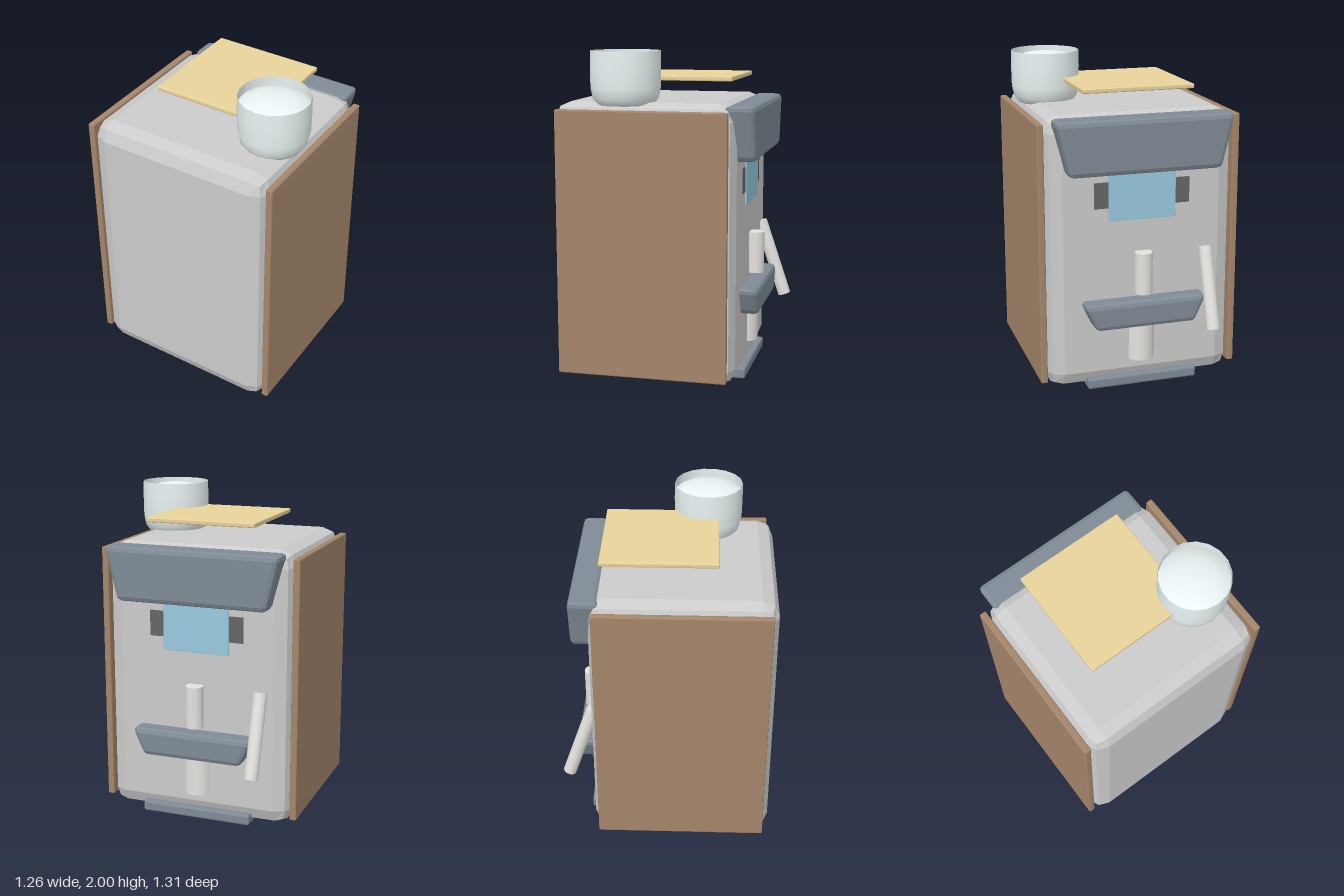
import * as THREE from 'three';
import { RoundedBoxGeometry } from 'three/addons/geometries/RoundedBoxGeometry.js';

const material = (color, flat = true) =>
  new THREE.MeshStandardMaterial({ color, flatShading: flat, side: THREE.DoubleSide });

const grey = material(0xcccccc);
const slate = material(0x808b95);
const wood = material(0xa5866b);
const tan = material(0xe8d39b);
const glass = material(0x99c9e0);
const dark = material(0x666666);
const steel = material(0xe4e2de, false);
const clear = material(0xeaf4f4, false);

export function createModel() {
  const model = new THREE.Group();

  const add = (name, geometry, mat, x = 0, y = 0, z = 0) => {
    const mesh = new THREE.Mesh(geometry, mat);
    mesh.name = name;
    mesh.position.set(x, y, z);
    model.add(mesh);
    return mesh;
  };

  // Chamfered box given by its low and high corners
  const block = (name, mat, [x0, y0, z0], [x1, y1, z1], radius) =>
    add(name, new RoundedBoxGeometry(x1 - x0, y1 - y0, z1 - z0, 1, radius), mat,
      (x0 + x1) / 2, (y0 + y1) / 2, (z0 + z1) / 2);

  // Chamfered bar whose ends slope inward towards the bottom
  const taperedBar = (name, lo, hi, radius, inset) => {
    const mesh = block(name, slate, lo, hi, radius);
    const p = mesh.geometry.attributes.position;
    const h = hi[1] - lo[1];
    for (let i = 0; i < p.count; i++) {
      const down = 0.5 - p.getY(i) / h;
      p.setX(i, p.getX(i) * (1 - (inset / hi[0]) * down));
    }
    mesh.geometry.computeVertexNormals();
    return mesh;
  };

  // Main housing and wooden sides
  block('body', grey, [-0.59, 0.004, -0.45], [0.59, 1.7, 0.655], 0.1);
  for (const [side, name] of [[1, 'leftPanel'], [-1, 'rightPanel']]) {
    const c = side * 0.61;
    block(name, wood, [c - 0.021, 0.05, -0.42], [c + 0.021, 1.66, 0.62], 0.008);
  }

  // Working side: header, display, tray bar and foot
  taperedBar('header', [-0.55, 1.36, -0.56], [0.55, 1.69, -0.38], 0.03, 0.08);
  block('displaySurround', dark, [-0.3, 1.14, -0.452], [0.3, 1.3, -0.44], 0.002);
  block('display', glass, [-0.21, 1.06, -0.459], [0.21, 1.4, -0.44], 0.002);
  taperedBar('trayBar', [-0.39, 0.4, -0.56], [0.39, 0.57, -0.42], 0.03, 0.08);
  block('foot', slate, [-0.35, 0, -0.485], [0.35, 0.065, 0.1], 0.012);

  // Brew spout and the cup below it
  add('brewSpout', new THREE.CylinderGeometry(0.055, 0.055, 0.26, 16), steel, 0, 0.73, -0.485);
  add('cup', new THREE.CylinderGeometry(0.09, 0.09, 0.23, 20), steel, 0, 0.275, -0.415);

  // Leaning steam wand
  const top = new THREE.Vector3(-0.41, 0.85, -0.45);
  const tip = new THREE.Vector3(-0.41, 0.36, -0.615);
  const wand = add('steamWand', new THREE.CylinderGeometry(0.042, 0.042, top.distanceTo(tip), 12), steel);
  wand.position.copy(top).lerp(tip, 0.5);
  wand.quaternion.setFromUnitVectors(new THREE.Vector3(0, 1, 0), top.clone().sub(tip).normalize());

  // Raised lid board
  block('lidBoard', tan, [-0.345, 1.82, -0.39], [0.345, 1.848, 0.305], 0.006);

  // Hopper: rounded foot, straight wall, domed filling just below the rim
  const wall = [[0, 1.68], [0.17, 1.68], [0.198, 1.72], [0.21, 1.78], [0.212, 1.9], [0.21, 2]];
  const dome = [[0.21, 1.94], [0.17, 1.965], [0.12, 1.98], [0.06, 1.989], [0, 1.992]];
  for (const [name, profile] of [['hopper', wall], ['hopperFilling', dome]]) {
    const points = profile.map(([r, y]) => new THREE.Vector2(r, y));
    add(name, new THREE.LatheGeometry(points, 18), clear, 0.415, 0, 0.24);
  }

  return model;
}
